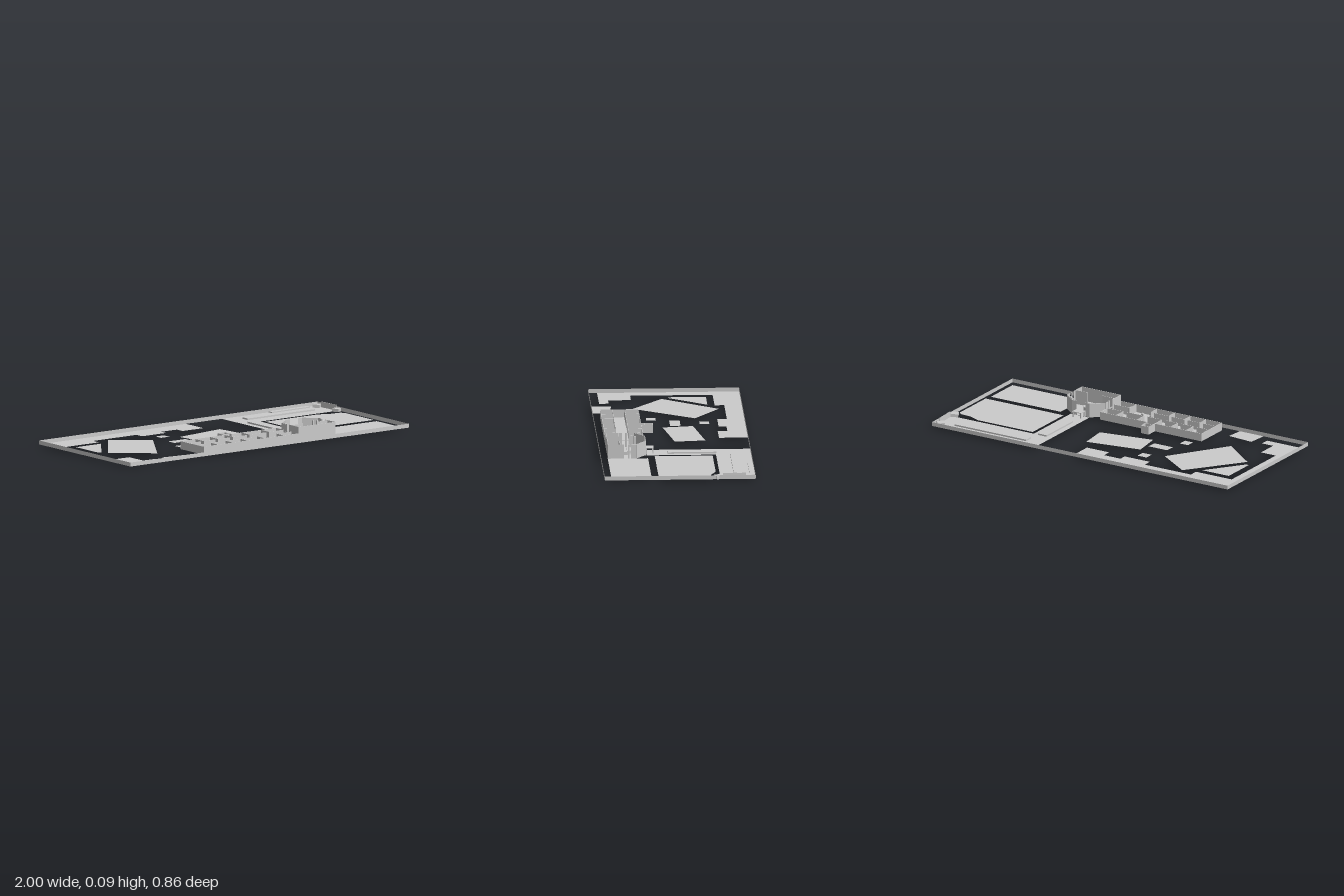
import * as THREE from 'three';

const G = 0.012; // ground level
const FENCE = 0.035, LOW = 0.058, TALL = 0.095; // wall top heights
const mat = new THREE.MeshStandardMaterial({ color: 0xcccccc, side: THREE.DoubleSide, flatShading: true });

export function createModel() {
  const root = new THREE.Group();
  const group = (name) => {
    const g = new THREE.Group();
    g.name = name;
    root.add(g);
    return g;
  };
  const add = (parent, geo, name) => {
    const m = new THREE.Mesh(geo, mat);
    m.name = name;
    parent.add(m);
    return m;
  };
  // flat sheet from an outline of [x, z] corners
  const sheet = (parent, name, pts) => {
    const shape = new THREE.Shape(pts.map(([x, z]) => new THREE.Vector2(x, -z)));
    const m = add(parent, new THREE.ShapeGeometry(shape).rotateX(-Math.PI / 2), name);
    m.position.y = G;
    return m;
  };
  const rect = (x0, x1, z0, z1) => [[x0, z0], [x1, z0], [x1, z1], [x0, z1]];
  // solid block by its extents
  const block = (parent, name, x0, x1, z0, z1, y0, y1) => {
    const m = add(parent, new THREE.BoxGeometry(x1 - x0, y1 - y0, z1 - z0), name);
    m.position.set((x0 + x1) / 2, (y0 + y1) / 2, (z0 + z1) / 2);
    return m;
  };
  // upright wall between two plan points
  const wall = (parent, name, [x0, z0], [x1, z1], top, t = 0.003, bottom = G) => {
    const len = Math.hypot(x1 - x0, z1 - z0);
    const geo = t ? new THREE.BoxGeometry(len, top - bottom, t) : new THREE.PlaneGeometry(len, top - bottom);
    const m = add(parent, geo, name);
    m.position.set((x0 + x1) / 2, (top + bottom) / 2, (z0 + z1) / 2);
    m.rotation.y = -Math.atan2(z1 - z0, x1 - x0);
    return m;
  };
  const wallRun = (parent, name, pts, top) => {
    for (let i = 0; i < pts.length - 1; i++) wall(parent, name, pts[i], pts[i + 1], top);
  };

  // Ground: lawns, paving and courts with open gaps between them
  const ground = group('ground');
  sheet(ground, 'leftPaving', [
    [-1, -0.43], [0.05, -0.43], [0.05, -0.265], [-0.1, -0.265], [-0.1, -0.32], [-0.21, -0.32],
    [-0.21, -0.275], [-0.38, -0.275], [-0.38, -0.33], [-0.69, -0.33], [-0.69, -0.275], [-0.93, -0.275],
    [-0.93, 0.195], [-0.83, 0.195], [-0.83, 0.325], [-0.755, 0.325], [-0.755, 0.38], [-1, 0.38],
  ]);
  sheet(ground, 'rightPaving', [
    [0.305, -0.43], [0.99, -0.43], [0.99, -0.23], [0.43, -0.23], [0.43, 0.165], [0.305, 0.165],
  ]);
  sheet(ground, 'triangleLawn', [[-0.885, -0.235], [-0.705, -0.235], [-0.87, -0.015], [-0.885, -0.025]]);
  sheet(ground, 'largeCourt', [[-0.61, -0.295], [-0.4, -0.15], [-0.63, 0.195], [-0.85, 0.02]]);
  sheet(ground, 'middleCourt', [[-0.225, -0.13], [0.105, -0.185], [0.125, -0.01], [-0.2, 0.045]]);
  sheet(ground, 'frontCourt', [[-0.69, 0.315], [-0.53, 0.33], [-0.54, 0.43], [-0.7, 0.43]]);
  sheet(ground, 'backLawn', [
    [0.45, -0.21], [0.82, -0.21], [0.89, -0.18], [0.955, -0.175], [0.975, -0.155], [0.975, 0.12], [0.45, 0.12],
  ]);
  sheet(ground, 'frontLawn', rect(0.495, 0.965, 0.16, 0.39));
  sheet(ground, 'smallPadBack', rect(-0.325, -0.265, -0.225, -0.17));
  sheet(ground, 'smallPadMiddle', rect(-0.36, -0.235, -0.06, 0));
  sheet(ground, 'smallPadFront', rect(-0.415, -0.36, 0.075, 0.13));

  // Thin wall around the plot
  const fence = group('perimeterWall');
  const corners = rect(-1, 0.99, -0.43, 0.43);
  corners.forEach((c, i) => wall(fence, 'perimeterPanel', c, corners[(i + 1) % 4], FENCE, 0));

  // Raised beds and the corner gate
  const yard = group('yard');
  block(yard, 'longPlanter', 0.4, 0.88, -0.36, -0.31, G, 0.021);
  block(yard, 'shortPlanter', 0.34, 0.4, -0.235, 0.045, G, 0.021);
  block(yard, 'backBench', 0.64, 0.915, -0.43, -0.4, G, 0.018);
  [[0.955, -0.39, 0.7], [0.968, -0.22, 0.45]].forEach(([x, z, a]) => {
    const p = block(yard, 'gatePillar', x - 0.021, x + 0.021, z - 0.021, z + 0.021, G, 0.03);
    p.rotation.y = a;
  });
  wall(yard, 'gatePanel', [0.975, -0.375], [0.982, -0.245], 0.045);

  // Long low wing: two rows of open-topped rooms along a corridor
  const wing = group('lowWing');
  const L = -0.445, R = 0.235, B = 0.172, F = 0.388;
  sheet(wing, 'wingFloor', rect(L, R, B, F));
  wallRun(wing, 'outerWall', [[R, F], [L, F], [L, B], [-0.13, B]], LOW);
  wallRun(wing, 'outerWall', [[-0.08, B], [R, B], [R, 0.235]], LOW);
  const dividers = [L, -0.34, -0.235, -0.13, -0.01, 0.13];
  dividers.forEach((x, i) => {
    if (i) {
      wall(wing, 'roomDivider', [x, B], [x, 0.25], LOW);
      wall(wing, 'roomDivider', [x, 0.32], [x, F], LOW);
      // corridor walls with a doorway beside each divider
      const x0 = dividers[i - 1];
      wall(wing, 'corridorWall', [x0, 0.25], [x - 0.022, 0.25], LOW);
      if (i < 5) wall(wing, 'corridorWall', [x0, 0.32], [x - 0.022, 0.32], LOW);
    }
  });
  wallRun(wing, 'corridorEnd', [[0.13, 0.25], [R, 0.245]], LOW);
  wallRun(wing, 'corridorEnd', [[0.13, 0.35], [0.14, 0.322], [R, 0.318]], LOW);
  for (const x of [-0.415, -0.262, -0.208, -0.005, 0.053])
    for (const z of [0.19, 0.332]) block(wing, 'roomStand', x - 0.007, x + 0.007, z - 0.007, z + 0.007, G, 0.036);

  // Small room on the back of the wing
  sheet(wing, 'annexFloor', rect(-0.13, -0.08, 0.105, B));
  wallRun(wing, 'annexWall', [[-0.13, B], [-0.13, 0.105], [-0.08, 0.105], [-0.08, B]], LOW);
  wall(wing, 'annexCrossWall', [-0.13, 0.15], [-0.08, 0.15], LOW);

  // Tall entrance hall with angled back corners
  const hall = group('entranceHall');
  sheet(hall, 'hallFloor', [[R, 0.235], [0.31, 0.168], [0.425, 0.168], [0.495, 0.235], [0.495, F], [R, F]]);
  wallRun(hall, 'frontRoomWall', [[R, 0.297], [R, F], [0.495, F], [0.495, 0.297]], TALL);
  const mid = 0.365;
  for (const s of [-1, 1]) {
    const at = (dx) => mid + s * dx;
    wallRun(hall, 'angledWall', [[at(0.03), 0.17], [at(0.058), 0.17], [at(0.13), 0.228], [at(0.13), 0.258]], TALL);
    wall(hall, 'sideDoorLintel', [at(0.13), 0.258], [at(0.13), 0.297], 0.052, 0.003, 0.047);
    block(hall, 'sideDoorPost', at(0.126) - 0.003, at(0.126) + 0.003, 0.267, 0.275, G, TALL);
    wall(hall, 'innerPartition', [at(0.13), 0.318], [at(0.05), 0.322], TALL);
    for (const [dx, z] of [[0.095, 0.225], [0.112, 0.242]])
      block(hall, 'hallColumn', at(dx) - 0.004, at(dx) + 0.004, z - 0.006, z + 0.006, G, 0.085);
  }

  // Curved reception desk over a short sunken base
  const curve = new THREE.Shape();
  curve.absellipse(0, 0, 0.046, 0.034, 0, Math.PI, false);
  const hole = new THREE.Path();
  hole.absellipse(0, 0, 0.034, 0.022, 0, Math.PI, false);
  curve.holes.push(hole);
  const desk = add(hall, new THREE.ExtrudeGeometry(curve, { depth: 0.022, bevelEnabled: false, curveSegments: 12 })
    .rotateX(-Math.PI / 2), 'receptionDesk');
  desk.position.set(mid, G, 0.275);
  block(hall, 'deskFront', mid - 0.046, mid + 0.046, 0.275, 0.295, G, 0.03);
  block(hall, 'sunkenBase', mid - 0.02, mid + 0.02, 0.262, 0.295, 0, G);

  // Porch canopy on four legs
  const porch = group('porch');
  block(porch, 'canopy', 0.335, 0.395, 0.123, 0.172, 0.042, 0.046);
  for (const x of [0.337, 0.388])
    for (const z of [0.125, 0.162]) block(porch, 'canopyLeg', x, x + 0.005, z, z + 0.006, G, 0.042);

  return root;
}
